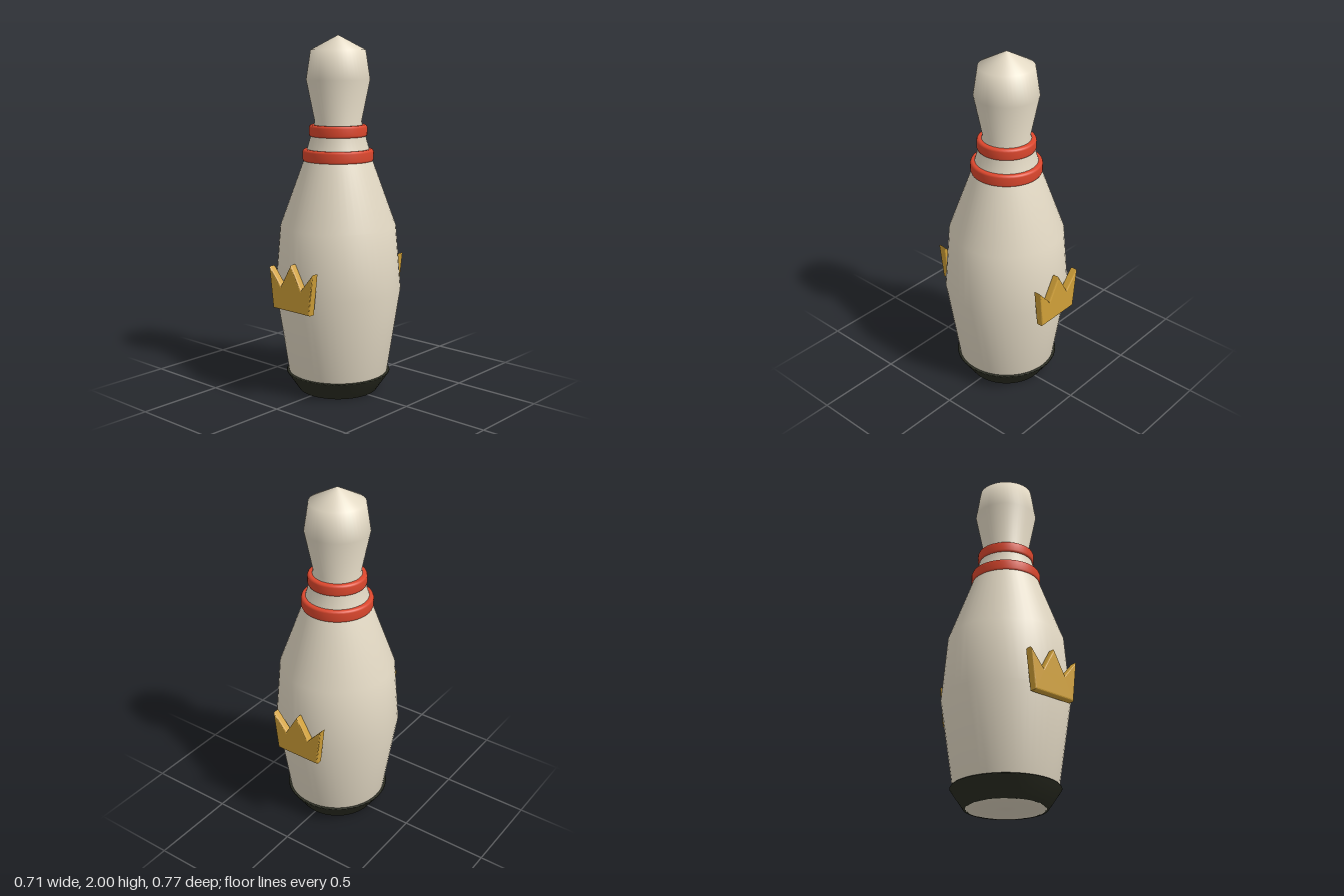
import * as THREE from 'three';

const material = (name, color) => {
  const m = new THREE.MeshStandardMaterial({ color });
  m.name = name;
  return m;
};

// Turned part from [radius, height] pairs, listed bottom to top
function turned(name, points, mat) {
  const profile = points.map(([r, y]) => new THREE.Vector2(r, y));
  const mesh = new THREE.Mesh(new THREE.LatheGeometry(profile, 48), mat);
  mesh.name = name;
  return mesh;
}

// Neck ring with rounded rims
function ring(name, radius, bottom, top, mat) {
  const inner = radius - 0.05, b = 0.013;
  return turned(name, [
    [inner, bottom], [radius - b, bottom], [radius - b * 0.3, bottom + b * 0.3],
    [radius, bottom + b], [radius, top - b], [radius - b * 0.3, top - b * 0.3],
    [radius - b, top], [inner, top],
  ], mat);
}

export function createModel() {
  const ivory = material('ivory', 0xe4dac5);
  const red = material('red', 0xdc472d);
  const gold = material('gold', 0xd0a038);
  const black = material('black', 0x2b2d22);
  const group = new THREE.Group();
  group.name = 'bowlingPin';

  // Pin body
  group.add(turned('body', [
    [0, 0], [0.213, 0], [0.282, 0.11], [0.355, 0.59], [0.325, 0.95],
    [0.19, 1.32], [0.13, 1.53], [0.177, 1.76], [0.152, 1.92], [0, 2],
  ], ivory));

  // Flared foot band
  group.add(turned('foot', [
    [0.208, 0], [0.225, 0], [0.296, 0.104], [0.292, 0.11], [0.27, 0.11],
  ], black));

  // Neck rings
  group.add(ring('lowerRing', 0.198, 1.31, 1.378, red));
  group.add(ring('upperRing', 0.162, 1.447, 1.512, red));

  // Crown emblem, front and back
  const outline = [
    [-0.136, 0.52], [0.136, 0.52], [0.162, 0.75], [0.075, 0.652],
    [0, 0.78], [-0.075, 0.652], [-0.162, 0.75],
  ].map(([x, y]) => new THREE.Vector2(x, y));
  const crown = new THREE.ExtrudeGeometry(new THREE.Shape(outline), {
    depth: 0.025, bevelThickness: 0.01, bevelSize: 0.01, bevelOffset: -0.01, bevelSegments: 3,
  });
  crown.translate(0, 0, 0.352);
  for (const [name, turn] of [['frontCrown', 0], ['backCrown', Math.PI]]) {
    const mesh = new THREE.Mesh(crown, gold);
    mesh.name = name;
    mesh.rotation.y = turn;
    group.add(mesh);
  }
  return group;
}
